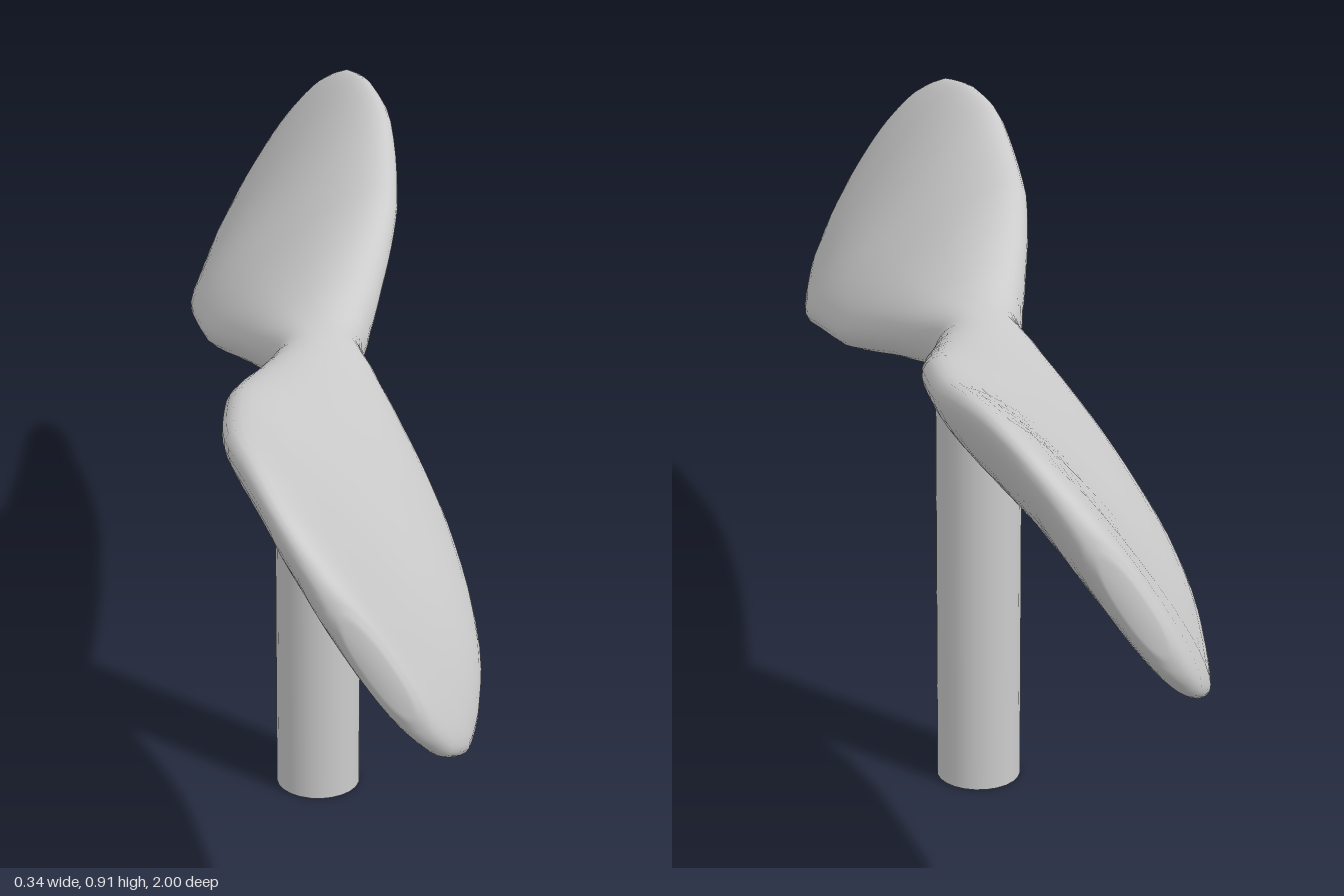
import * as THREE from 'three';

const HUB_Y = 0.717;

// Blade stations from hub to tip: [distance, half chord, half thickness, pitch in degrees]
const STATIONS = [
  [0, 0.066, 0.058, 0], [0.1, 0.092, 0.057, 22], [0.2, 0.126, 0.057, 30],
  [0.3, 0.162, 0.057, 35], [0.4, 0.193, 0.056, 38.5], [0.55, 0.219, 0.054, 42],
  [0.7, 0.241, 0.047, 48], [0.8, 0.237, 0.042, 52], [0.9, 0.214, 0.037, 55],
  [0.96, 0.172, 0.032, 57], [0.99, 0.122, 0.026, 58], [1, 0.075, 0.015, 58],
];

function createPropellerGeometry() {
  // Mirror the stations about the hub, with the opposite pitch on the far blade
  const rows = [
    ...STATIONS.slice(1).reverse().map(([d, c, t, a]) => [-d, c, t, -a]),
    ...STATIONS,
  ];
  const sizes = new THREE.CatmullRomCurve3(rows.map(([, c, t]) => new THREE.Vector3(c, t, 0)));
  const places = new THREE.CatmullRomCurve3(rows.map(([z, , , a]) => new THREE.Vector3(z, a / 60, 0)));
  const steps = (rows.length - 1) * 3;
  const sides = 40;
  const positions = [];
  const indices = [];
  const flatten = (v) => Math.sign(v) * Math.abs(v) ** 0.88;

  for (let i = 0; i <= steps; i++) {
    const { x: chord, y: thick } = sizes.getPoint(i / steps);
    const { x: z, y: turn } = places.getPoint(i / steps);
    const pitch = -THREE.MathUtils.degToRad(turn * 60);
    for (let j = 0; j < sides; j++) {
      const t = (j / sides) * Math.PI * 2;
      const u = chord * flatten(Math.cos(t));
      const v = thick * flatten(Math.sin(t));
      positions.push(
        u * Math.cos(pitch) - v * Math.sin(pitch),
        u * Math.sin(pitch) + v * Math.cos(pitch),
        THREE.MathUtils.clamp(z, -1, 1),
      );
      if (i < steps) {
        const k = (j + 1) % sides;
        const a = i * sides + j, b = i * sides + k;
        indices.push(a, b, a + sides, b, b + sides, a + sides);
      }
    }
  }

  // Close both tips
  const back = positions.length / 3;
  positions.push(0, 0, -1, 0, 0, 1);
  for (let j = 0; j < sides; j++) {
    const k = (j + 1) % sides;
    indices.push(back, k, j, back + 1, steps * sides + j, steps * sides + k);
  }

  const geometry = new THREE.BufferGeometry();
  geometry.setAttribute('position', new THREE.Float32BufferAttribute(positions, 3));
  geometry.setIndex(indices);
  geometry.computeVertexNormals();
  return geometry;
}

export function createModel() {
  const group = new THREE.Group();
  group.name = 'propellerOnStem';
  const material = new THREE.MeshStandardMaterial({ color: 0xcccccc });

  // Twisted two-bladed propeller
  const propeller = new THREE.Mesh(createPropellerGeometry(), material);
  propeller.name = 'propellerBlades';
  propeller.position.y = HUB_Y;
  group.add(propeller);

  // Round stem reaching into the hub
  const height = 0.7;
  const stem = new THREE.Mesh(new THREE.CylinderGeometry(0.066, 0.066, height, 24), material);
  stem.name = 'stem';
  stem.position.y = height / 2;
  group.add(stem);

  return group;
}
